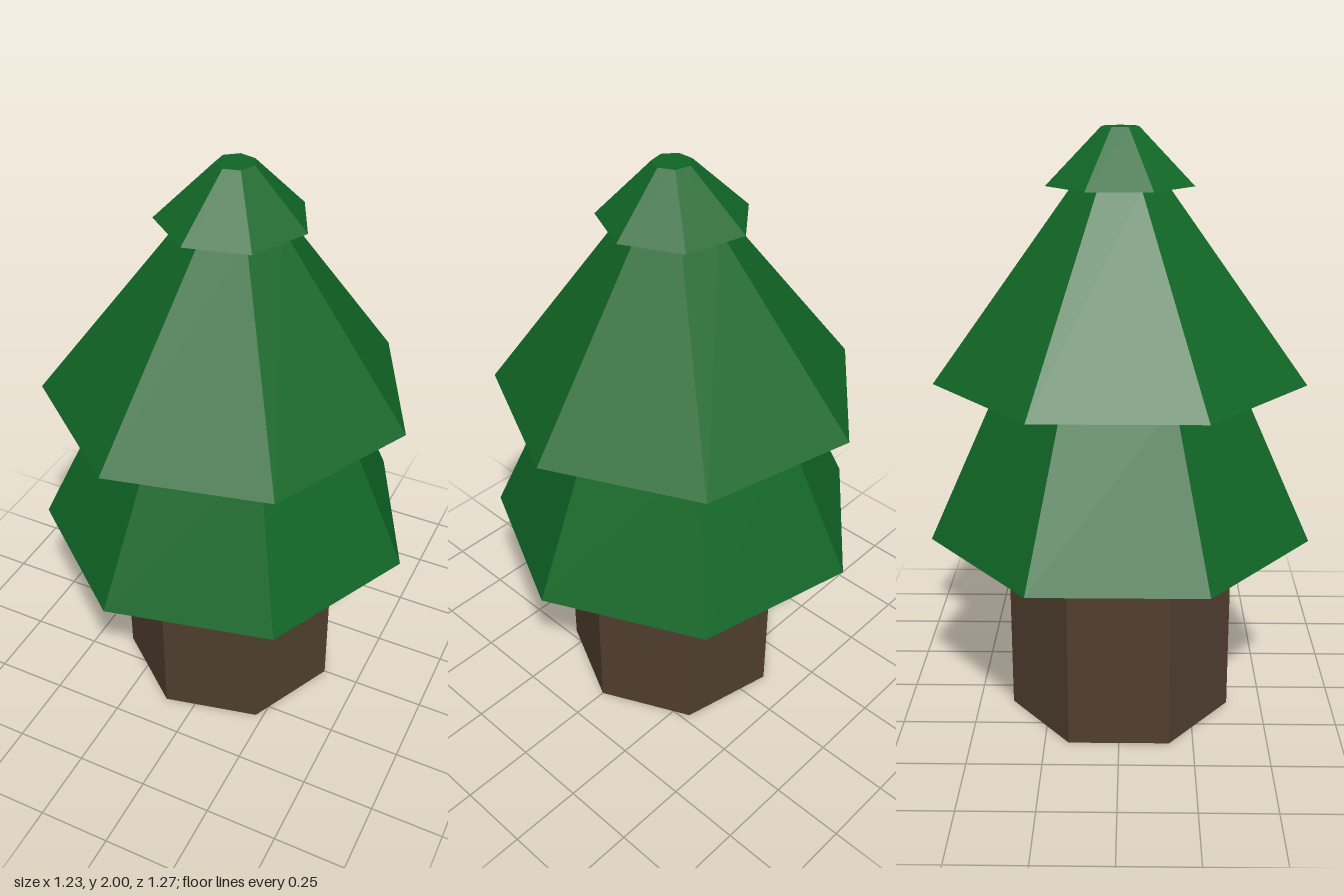
import * as THREE from 'three';

const SIDES = 7;
// A heptagon reaches further on its pointed side; this shift centres each ring on x = 0.
const SHIFT = -(1 - Math.cos(Math.PI / SIDES)) / 2;

// Seven-sided frustum with a corner facing +x
function frustum(name, material, bottomRadius, topRadius, y0, y1) {
  const height = y1 - y0;
  const geometry = new THREE.CylinderGeometry(topRadius, bottomRadius, height, SIDES, 1, false, Math.PI / 2);
  const position = geometry.attributes.position;
  for (let i = 0; i < position.count; i++) {
    const radius = position.getY(i) > 0 ? topRadius : bottomRadius;
    position.setX(i, position.getX(i) + radius * SHIFT);
  }
  geometry.translate(0, y0 + height / 2, 0);
  const mesh = new THREE.Mesh(geometry, material);
  mesh.name = name;
  return mesh;
}

export function createModel() {
  const bark = new THREE.MeshStandardMaterial({ color: 0x503e2f, flatShading: true });
  bark.name = 'bark brown';
  const needles = new THREE.MeshStandardMaterial({ color: 0x106626, flatShading: true });
  needles.name = 'needle green';

  const tree = new THREE.Group();
  tree.name = 'tree';
  tree.add(
    frustum('trunk', bark, 0.391, 0.391, 0, 0.66),
    // Stacked foliage tiers, each overhanging the one below
    frustum('lowerFoliage', needles, 0.649, 0.4, 0.66, 1.2),
    frustum('middleFoliage', needles, 0.62, 0.157, 1.2, 1.82),
    frustum('topFoliage', needles, 0.243, 0.062, 1.82, 2)
  );
  return tree;
}
